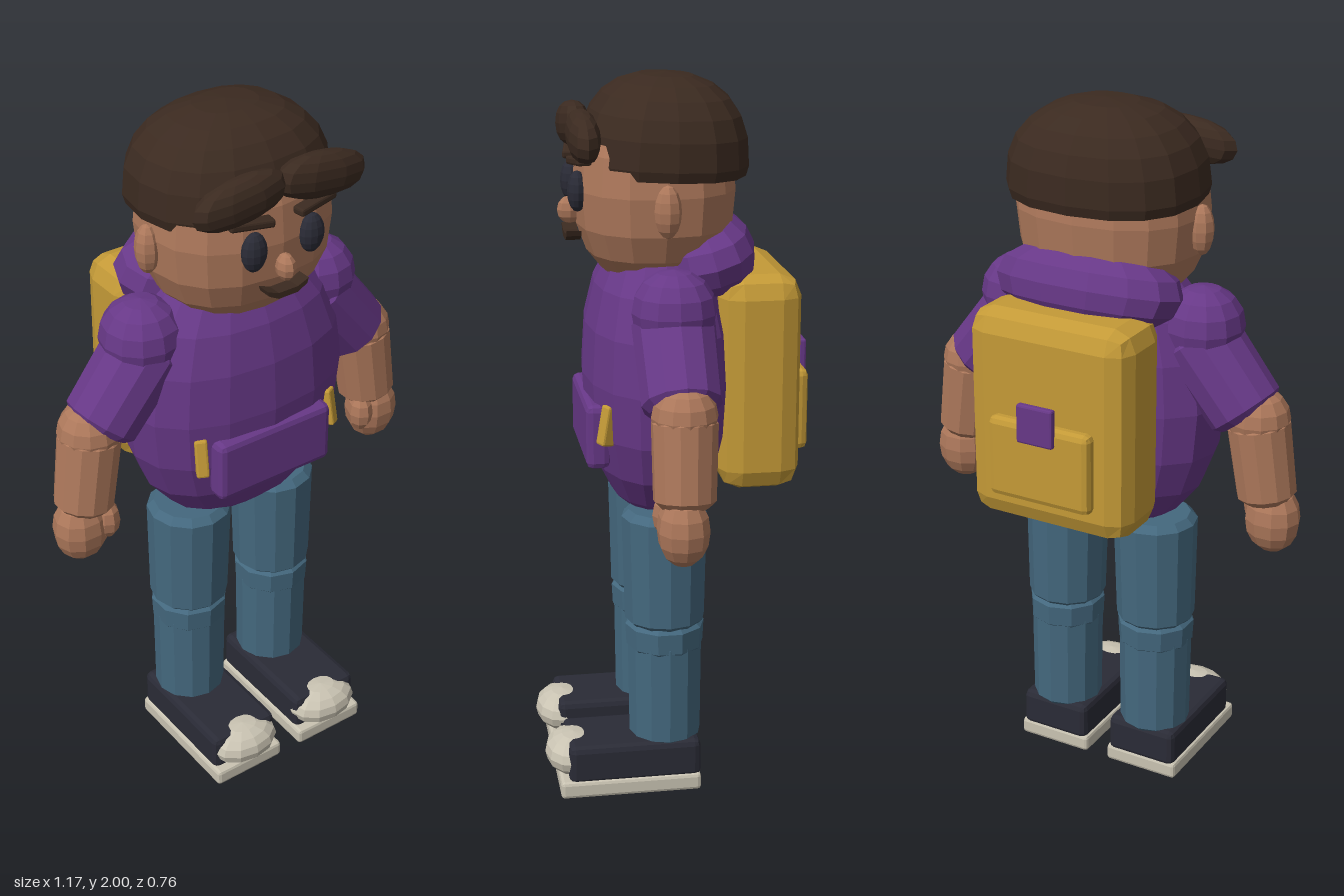
import * as THREE from 'three';
import { RoundedBoxGeometry } from 'three/addons/geometries/RoundedBoxGeometry.js';

const paint = (name, color) => {
  const m = new THREE.MeshStandardMaterial({ color });
  m.name = name;
  return m;
};

export function createModel() {
  const model = new THREE.Group();
  model.name = 'backpacker';
  const purple = paint('purple cloth', 0x673887);
  const skin = paint('skin', 0xad785b);
  const hair = paint('dark brown hair', 0x3b2a20);
  const denim = paint('denim', 0x44687e);
  const dark = paint('dark shoe', 0x2a2b36);
  const cream = paint('cream rubber', 0xc9c3b2);
  const yellow = paint('yellow canvas', 0xc49a37);

  // Faceted mesh
  function add(name, geo, mat, x, y, z) {
    const g = geo.index ? geo.toNonIndexed() : geo;
    g.computeVertexNormals();
    const mesh = new THREE.Mesh(g, mat);
    mesh.name = name;
    mesh.position.set(x, y, z);
    model.add(mesh);
    return mesh;
  }

  // Ellipsoid; p below 1 makes it squarer, floor flattens its underside
  function blob(name, mat, [x, y, z], [rx, ry, rz], { p = 1, w = 12, h = 8, floor = -1 } = {}) {
    const geo = new THREE.SphereGeometry(1, w, h);
    const pos = geo.attributes.position;
    const f = (v) => Math.sign(v) * Math.abs(v) ** p;
    for (let i = 0; i < pos.count; i++) {
      const v = new THREE.Vector3().fromBufferAttribute(pos, i);
      const q = [f(v.x), f(v.y), f(v.z)];
      // Keep the outline on the squared ellipsoid
      pos.setXYZ(i, q[0] * rx, Math.max(q[1], floor) * ry, q[2] * rz);
    }
    return add(name, geo, mat, x, y, z);
  }

  // Cylinder with chamfered ends between two points
  function limb(name, mat, from, to, r0, r1, sides = 12) {
    const a = new THREE.Vector3(...from), d = new THREE.Vector3(...to).sub(a);
    const L = d.length(), b = 0.02;
    const pts = [[0, 0], [r0 - b, 0], [r0, b], [r1, L - b], [r1 - b, L], [0, L]];
    const geo = new THREE.LatheGeometry(pts.map((q) => new THREE.Vector2(...q)), sides);
    const m = add(name, geo, mat, ...from);
    m.quaternion.setFromUnitVectors(new THREE.Vector3(0, 1, 0), d.normalize());
    return m;
  }

  const box = (name, mat, [x, y, z], [w, h, d], r) =>
    add(name, new RoundedBoxGeometry(w, h, d, 1, r), mat, x, y, z);

  // Head and hair
  blob('head', skin, [0, 1.7, 0.04], [0.265, 0.275, 0.22], { p: 0.85, w: 16, h: 10 });
  blob('hairCap', hair, [0, 1.77, 0.013], [0.275, 0.23, 0.228], { p: 0.84, w: 16, h: 12, floor: -0.12 })
    .rotation.x = -0.04;
  blob('nose', skin, [0, 1.635, 0.268], [0.026, 0.038, 0.034], { w: 8, h: 6 });
  const smile = new THREE.Shape([[-0.065, 1.588], [-0.06, 1.573], [-0.03, 1.557], [0.03, 1.557],
    [0.06, 1.573], [0.065, 1.588], [0.03, 1.574], [-0.03, 1.574]].map((q) => new THREE.Vector2(...q)));
  add('mouth', new THREE.ExtrudeGeometry(smile, { depth: 0.04, bevelEnabled: false }), hair, 0, 0, 0.243);

  // Torso, hood and waist pouch
  blob('torso', purple, [0, 1.18, 0.035], [0.335, 0.41, 0.205], { p: 0.9, w: 16, h: 10 });
  blob('hood', purple, [0, 1.51, -0.09], [0.275, 0.115, 0.145], { p: 0.9, w: 14, h: 8 }).rotation.x = 0.25;
  box('waistPouch', purple, [0, 1.04, 0.217], [0.37, 0.18, 0.065], 0.018);

  // Backpack
  box('backpackBody', yellow, [0, 1.18, -0.223], [0.49, 0.6, 0.225], 0.06);
  box('backpackPocket', yellow, [0, 1.085, -0.345], [0.31, 0.23, 0.05], 0.018);
  box('backpackClasp', purple, [0, 1.205, -0.373], [0.11, 0.11, 0.022], 0.006);

  for (const s of [-1, 1]) {
    // Face
    blob('eye', dark, [s * 0.09, 1.7, 0.256], [0.037, 0.055, 0.027], { w: 12, h: 8 });
    const brow = box('eyebrow', hair, [s * 0.1, 1.782, 0.252], [0.125, 0.022, 0.04], 0.006);
    brow.rotation.set(0, s * 0.15, s * 0.1);
    blob('ear', skin, [s * 0.268, 1.67, 0.04], [0.034, 0.07, 0.036], { w: 8, h: 8 });
    const fringe = blob('fringe', hair, [s * 0.125, 1.85, 0.243], [0.143, 0.062, 0.044], { p: 0.9, w: 10, h: 8 });
    fringe.rotation.z = -s * 0.12;

    // Arm
    const z = 0.027;
    blob('shoulder', purple, [s * 0.285, 1.41, z], [0.113, 0.113, 0.113], { p: 0.95 });
    limb('sleeve', purple, [s * 0.26, 1.39, z], [s * 0.43, 1.18, z], 0.112, 0.107);
    blob('elbow', skin, [s * 0.455, 1.175, z], [0.09, 0.09, 0.088]);
    limb('forearm', skin, [s * 0.455, 1.18, z], [s * 0.49, 0.94, z + 0.005], 0.088, 0.083);
    blob('hand', skin, [s * 0.505, 0.885, 0.038], [0.078, 0.098, 0.07], { p: 0.95, w: 10 });
    blob('thumb', skin, [s * 0.44, 0.905, 0.07], [0.036, 0.06, 0.04], { w: 8, h: 6 });

    // Leg
    limb('thigh', denim, [s * 0.145, 0.82, 0.032], [s * 0.149, 0.48, 0.032], 0.12, 0.113);
    limb('knee', denim, [s * 0.149, 0.5, 0.032], [s * 0.149, 0.4, 0.032], 0.112, 0.109, 10);
    limb('shin', denim, [s * 0.149, 0.45, 0.032], [s * 0.15, 0.13, 0.032], 0.105, 0.102);

    // Shoe
    box('shoeUpper', dark, [s * 0.148, 0.094, 0.13], [0.215, 0.115, 0.375], 0.018);
    box('shoeSole', cream, [s * 0.148, 0.025, 0.143], [0.228, 0.05, 0.4], 0.01);
    blob('toeCap', cream, [s * 0.145, 0.098, 0.297], [0.108, 0.058, 0.08], { p: 0.95, w: 12, h: 8 });

    // Strap end at the waist
    const strap = box('strapEnd', yellow, [s * 0.213, 1.085, 0.195], [0.035, 0.11, 0.04], 0.006);
    strap.rotation.set(-0.2, s * 0.5, s * 0.05);
  }
  return model;
}
